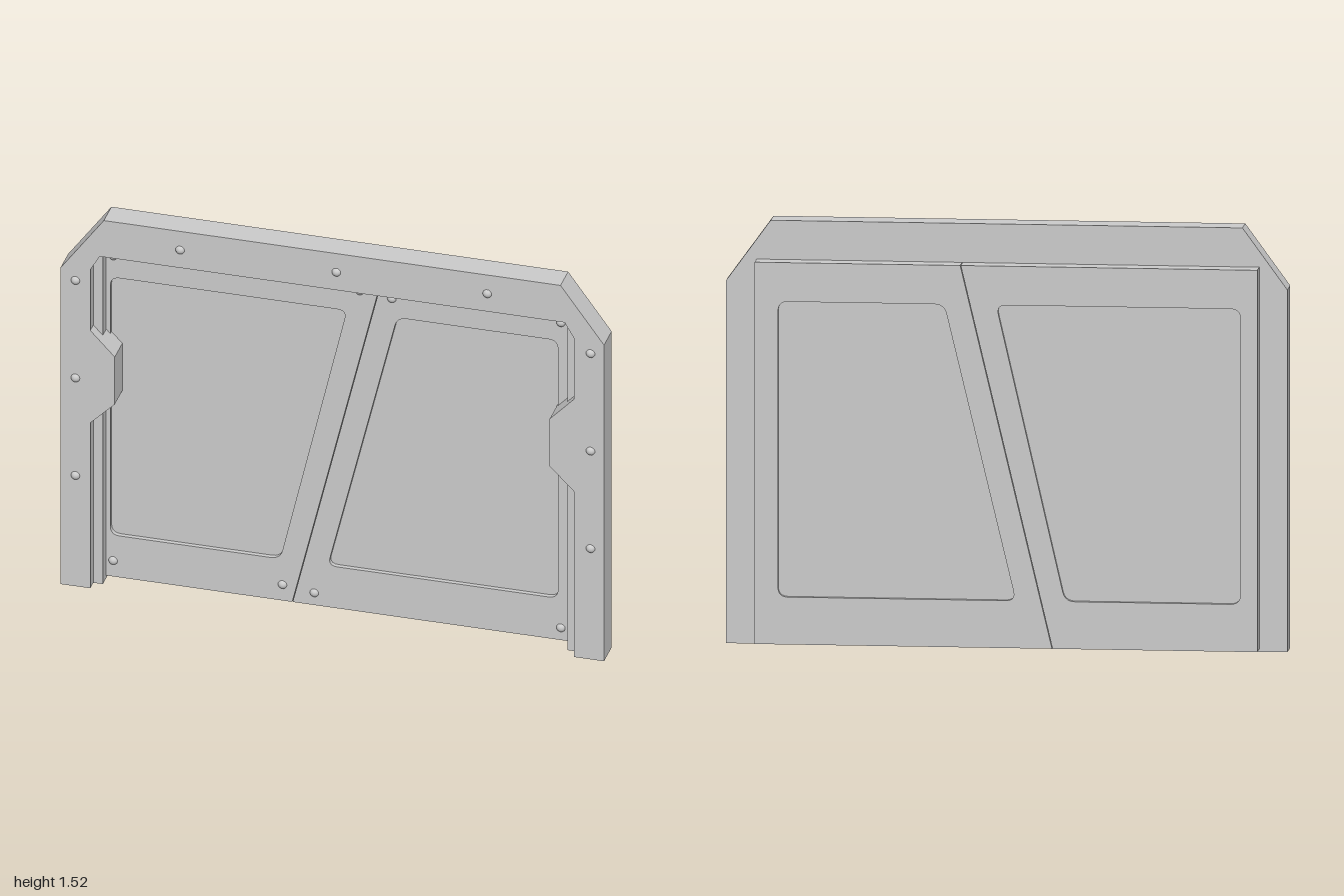
import * as THREE from 'three';

const material = new THREE.MeshStandardMaterial({ color: 0xcccccc });
const FRAME_BACK = -0.02, FRAME_FRONT = 0.08;
const DOOR_BACK = -0.09, DOOR_FRONT = -0.005;

// Closed path through points, with optional rounded corners
function trace(path, points, radius = 0) {
  const pts = points.map(([x, y]) => new THREE.Vector2(x, y));
  pts.forEach((p, i) => {
    const prev = pts[(i + pts.length - 1) % pts.length];
    const next = pts[(i + 1) % pts.length];
    const a = p.clone().add(prev.clone().sub(p).setLength(radius));
    const b = p.clone().add(next.clone().sub(p).setLength(radius));
    if (i === 0) path.moveTo(a.x, a.y);
    else path.lineTo(a.x, a.y);
    if (radius > 0) path.quadraticCurveTo(p.x, p.y, b.x, b.y);
  });
  path.closePath();
  return path;
}

function slab(name, shape, z0, z1) {
  const geometry = new THREE.ExtrudeGeometry(shape, { depth: z1 - z0, bevelEnabled: false, curveSegments: 5 });
  geometry.translate(0, 0, z0);
  const mesh = new THREE.Mesh(geometry, material);
  mesh.name = name;
  return mesh;
}

function rivets(name, positions, surfaceZ) {
  const group = new THREE.Group();
  group.name = name;
  const ball = new THREE.SphereGeometry(0.018, 16, 12);
  for (const [x, y] of positions) {
    const mesh = new THREE.Mesh(ball, material);
    mesh.name = 'rivet';
    mesh.position.set(x, y, surfaceZ - 0.007);
    group.add(mesh);
  }
  return group;
}

// Door leaf with a recessed panel visible on both faces
function doorLeaf(name, outline, opening, rivetPositions) {
  const leaf = new THREE.Group();
  leaf.name = name;
  const shape = trace(new THREE.Shape(), outline);
  shape.holes.push(trace(new THREE.Path(), opening, 0.035));
  leaf.add(slab('leafBorder', shape, DOOR_BACK, DOOR_FRONT));
  leaf.add(slab('recessedPanel', trace(new THREE.Shape(), opening, 0.035), DOOR_BACK + 0.017, DOOR_FRONT - 0.017));
  leaf.add(rivets('leafRivets', rivetPositions, DOOR_FRONT));
  return leaf;
}

export function createModel() {
  const model = new THREE.Group();
  model.name = 'slidingDoor';

  // Frame: clipped top corners outside, a latch bulge on each inner side
  const half = [
    [1, 0], [1, 1.3], [0.84, 1.52],
  ];
  const inner = [
    [0.855, 1.37], [0.89, 1.31], [0.89, 1.06], [0.8, 0.965], [0.8, 0.77], [0.89, 0.68], [0.89, 0],
  ];
  const right = [...inner, ...half];
  const left = right.map(([x, y]) => [-x, y]).reverse();
  model.add(slab('frame', trace(new THREE.Shape(), [...right, ...left]), FRAME_BACK, FRAME_FRONT));

  // Stepped guide strips set back inside the uprights
  for (const side of [-1, 1]) {
    const strip = new THREE.Mesh(new THREE.BoxGeometry(0.045, 1.37, 0.06), material);
    strip.name = side > 0 ? 'leftGuideStrip' : 'rightGuideStrip';
    strip.position.set(side * 0.8775, 0.685, 0.01);
    model.add(strip);
  }

  // Frame rivets
  model.add(rivets('frameRivets', [
    [-0.56, 1.443], [0.015, 1.443], [0.57, 1.443],
    ...[1.257, 0.856, 0.455].flatMap((y) => [[-0.945, y], [0.95, y]]),
  ], FRAME_FRONT));

  // Two leaves meeting along a slanted seam
  model.add(doorLeaf('rightLeaf',
    [[-0.9, 0.01], [-0.171, 0.01], [0.156, 1.38], [-0.9, 1.38]],
    [[-0.84, 0.18], [-0.215, 0.18], [0.03, 1.24], [-0.84, 1.24]],
    [[-0.83, 1.328], [0.077, 1.328], [-0.83, 0.075], [-0.207, 0.075]]));
  model.add(doorLeaf('leftLeaf',
    [[-0.169, 0.01], [0.89, 0.01], [0.89, 1.38], [0.158, 1.38]],
    [[-0.04, 0.18], [0.807, 0.18], [0.807, 1.24], [0.215, 1.24]],
    [[0.195, 1.315], [0.817, 1.315], [-0.09, 0.06], [0.817, 0.06]]));

  return model;
}
